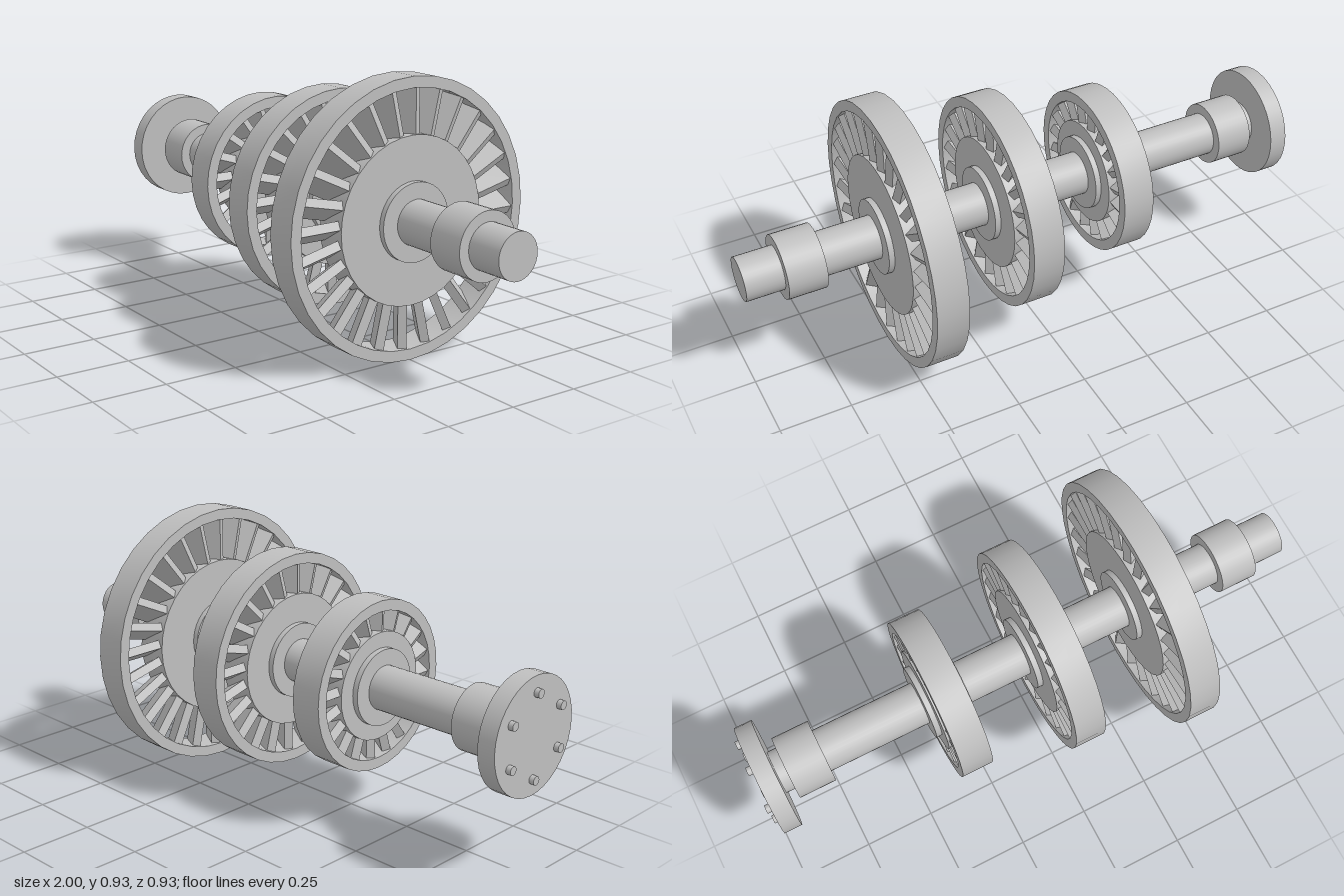
import * as THREE from 'three';
import { toCreasedNormals } from 'three/addons/utils/BufferGeometryUtils.js';

const AXIS_Y = 0.463;
const steel = new THREE.MeshStandardMaterial({ color: 0xc0c0c0 });
steel.name = 'steel grey';

function addMesh(parent, name, geometry) {
  const mesh = new THREE.Mesh(geometry, steel);
  mesh.name = name;
  parent.add(mesh);
  return mesh;
}

// solid round part lying along x, from x0 to x1
function addRound(parent, name, x0, x1, radius, segments = 36) {
  const geometry = new THREE.CylinderGeometry(radius, radius, x1 - x0, segments);
  geometry.rotateZ(-Math.PI / 2);
  const mesh = addMesh(parent, name, geometry);
  mesh.position.x = (x0 + x1) / 2;
  return mesh;
}

// square-section ring around the x axis
function ringGeometry(inner, outer, width) {
  const h = width / 2;
  const profile = [[inner, -h], [outer, -h], [outer, h], [inner, h], [inner, -h]]
    .map(([r, y]) => new THREE.Vector2(r, y));
  const geometry = new THREE.LatheGeometry(profile, 36);
  geometry.rotateZ(-Math.PI / 2);
  return toCreasedNormals(geometry, 0.6);
}

// bladed wheel: hub, disc, pitched blades and outer rim
function makeWheel(name, x, discRadius, rimRadius, bladeCount) {
  const wheel = new THREE.Group();
  wheel.name = name;
  wheel.position.x = x;
  const width = 0.112;
  const rimInner = rimRadius - 0.037;
  addRound(wheel, 'hub', -0.076, 0.076, 0.131);
  addRound(wheel, 'disc', -width / 2, width / 2, discRadius);
  addMesh(wheel, 'rim', ringGeometry(rimInner, rimRadius, width));

  const inner = discRadius - 0.01;
  const outer = rimInner + 0.008;
  const bladeGeometry = new THREE.BoxGeometry(0.1, outer - inner, 0.03);
  bladeGeometry.rotateY(Math.PI / 6);
  bladeGeometry.translate(0, (inner + outer) / 2, 0);
  for (let i = 0; i < bladeCount; i++) {
    addMesh(wheel, 'blade', bladeGeometry).rotation.x = (i / bladeCount) * Math.PI * 2;
  }
  return wheel;
}

export function createModel() {
  const model = new THREE.Group();
  model.name = 'turbineRotor';
  const rotor = new THREE.Group();
  rotor.name = 'rotor';
  rotor.position.y = AXIS_Y;
  model.add(rotor);

  // shaft with its two bearing journals
  addRound(rotor, 'shaft', -0.93, 1, 0.076);
  addRound(rotor, 'rightJournal', -0.887, -0.755, 0.111);
  addRound(rotor, 'leftJournal', 0.737, 0.87, 0.111);

  // coupling flange and its ring of six bolts
  addRound(rotor, 'couplingFlange', -0.983, -0.92, 0.195);
  for (let i = 0; i < 6; i++) {
    const angle = Math.PI / 6 + (i * Math.PI) / 3;
    const bolt = addRound(rotor, 'flangeBolt', -1, -0.97, 0.015, 16);
    bolt.position.y = Math.sin(angle) * 0.14;
    bolt.position.z = Math.cos(angle) * 0.14;
  }

  // three stages growing toward the left end
  rotor.add(makeWheel('smallWheel', -0.313, 0.185, 0.291, 20));
  rotor.add(makeWheel('middleWheel', 0.073, 0.232, 0.373, 24));
  rotor.add(makeWheel('largeWheel', 0.459, 0.278, 0.463, 28));
  return model;
}
